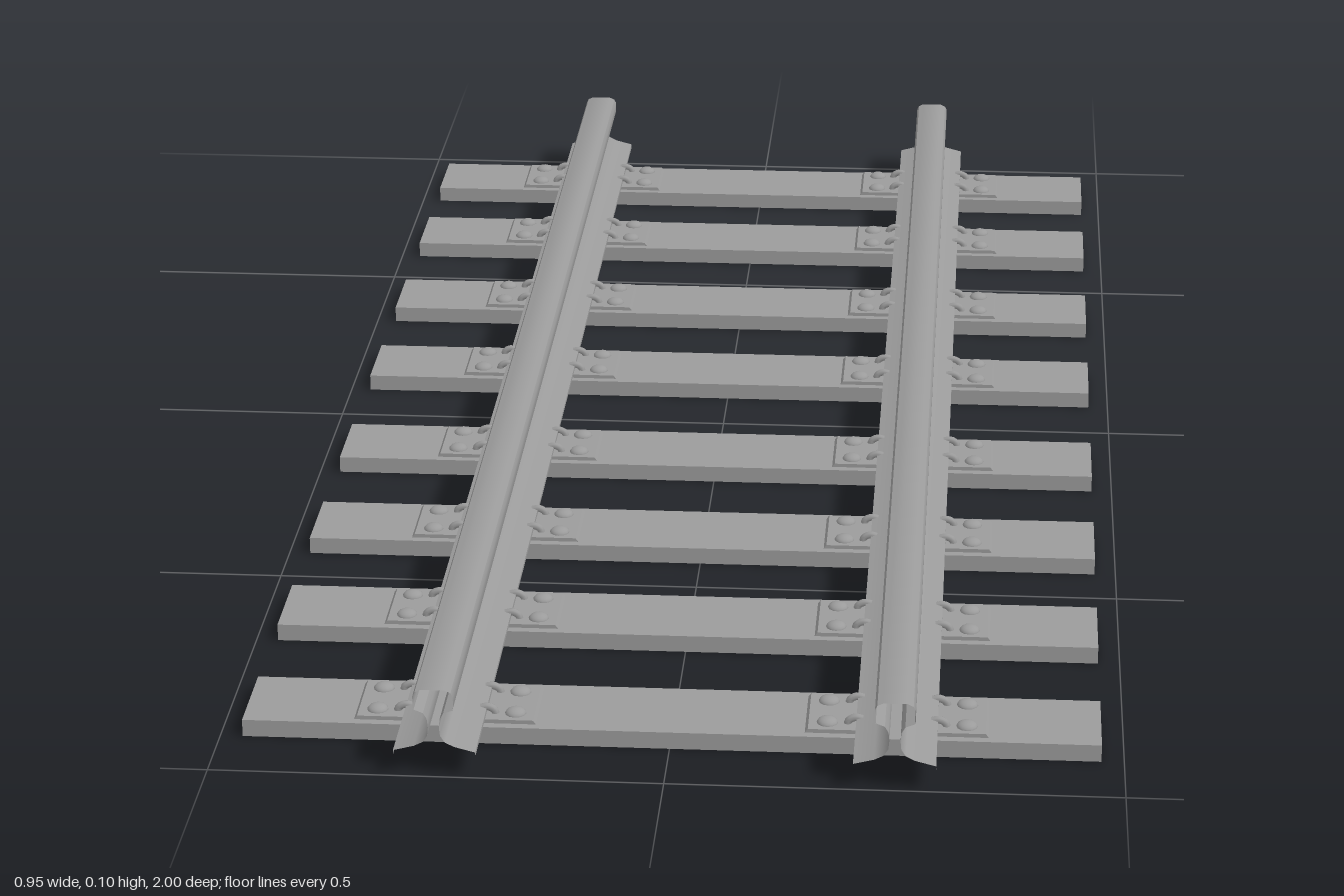
import * as THREE from 'three';
import { toCreasedNormals } from 'three/addons/utils/BufferGeometryUtils.js';

const material = new THREE.MeshStandardMaterial({ color: 0x9b9b9b });
const openMaterial = new THREE.MeshStandardMaterial({ color: 0x9b9b9b, side: THREE.DoubleSide });

const SLEEPER_Z = [-0.872, -0.639, -0.386, -0.139, 0.133, 0.379, 0.621, 0.864];
const SLEEPER = { width: 0.95, depth: 0.108, height: 0.02 };
const DECK = 0.006;
const RAIL_X = 0.25;

function part(name, geometry, x = 0, y = 0, z = 0, surface = material) {
  const mesh = new THREE.Mesh(geometry, surface);
  mesh.name = name;
  mesh.position.set(x, y, z);
  return mesh;
}

function rectangle(PathType, w, d) {
  return new PathType([[-w, -d], [w, -d], [w, d], [-w, d]]
    .map(([x, y]) => new THREE.Vector2(x / 2, y / 2)));
}

// Rail skin: a mirrored section swept along z, open at the ends and underneath
function railGeometry() {
  const half = [
    [0.045, 0.026], [0.045, 0.031], [0.022, 0.037], [0.012, 0.042], [0.007, 0.05],
    [0.006, 0.06], [0.007, 0.07], [0.011, 0.077], [0.021, 0.081], [0.022, 0.084],
    [0.022, 0.097], [0.0195, 0.102], [0.013, 0.105],
  ];
  const section = [...half, ...half.map(([x, y]) => [-x, y]).reverse()];
  const positions = [];
  for (let i = 0; i < section.length - 1; i++) {
    const [ax, ay] = section[i];
    const [bx, by] = section[i + 1];
    positions.push(ax, ay, -1, bx, by, -1, bx, by, 1);
    positions.push(ax, ay, -1, bx, by, 1, ax, ay, 1);
  }
  const geometry = new THREE.BufferGeometry();
  geometry.setAttribute('position', new THREE.Float32BufferAttribute(positions, 3));
  geometry.computeVertexNormals();
  return toCreasedNormals(geometry, 0.6);
}

// Hollow underside of a sleeper: a rim standing on the ground
function rimGeometry() {
  const outline = rectangle(THREE.Shape, SLEEPER.width, SLEEPER.depth);
  outline.holes.push(rectangle(THREE.Path, SLEEPER.width - 0.02, SLEEPER.depth - 0.02));
  return new THREE.ExtrudeGeometry(outline, { depth: SLEEPER.height - DECK, bevelEnabled: false })
    .rotateX(-Math.PI / 2);
}

// Plate with a steep sloping outer edge
function plateGeometry() {
  const shape = new THREE.Shape([[0.036, 0.019], [0.102, 0.019], [0.098, 0.0245], [0.036, 0.0245]]
    .map(([x, y]) => new THREE.Vector2(x, y)));
  return new THREE.ExtrudeGeometry(shape, { depth: 0.088, bevelEnabled: false })
    .translate(0, 0, -0.044);
}

// Round spring clip hooking from the plate over the rail foot
function clipGeometry() {
  const path = new THREE.CatmullRomCurve3([
    [0.055, 0.022], [0.053, 0.028], [0.046, 0.0315], [0.038, 0.03],
  ].map(([x, y]) => new THREE.Vector3(x, y, 0)));
  return new THREE.TubeGeometry(path, 8, 0.0045, 8);
}

export function createModel() {
  const model = new THREE.Group();
  model.name = 'railwayTrack';

  const rail = railGeometry();
  const rim = rimGeometry();
  const deck = new THREE.BoxGeometry(SLEEPER.width, DECK, SLEEPER.depth);
  const plate = plateGeometry();
  const clip = clipGeometry();
  const bolt = new THREE.SphereGeometry(0.012, 12, 5, 0, Math.PI * 2, 0, Math.PI / 2)
    .scale(1, 0.6, 1);

  for (const side of [-1, 1]) {
    model.add(part(side > 0 ? 'leftRail' : 'rightRail', rail, side * RAIL_X, 0, 0, openMaterial));
  }

  for (const z of SLEEPER_Z) {
    const sleeper = new THREE.Group();
    sleeper.name = 'sleeper';
    sleeper.position.z = z;
    sleeper.add(
      part('sleeperRim', rim),
      part('sleeperDeck', deck, 0, SLEEPER.height - DECK / 2, 0),
    );

    // Fastenings on both sides of each rail
    for (const x of [-RAIL_X, RAIL_X]) {
      for (const angle of [0, Math.PI]) {
        const fastening = new THREE.Group();
        fastening.name = 'railFastening';
        fastening.position.x = x;
        fastening.rotation.y = angle;
        fastening.add(part('basePlate', plate));
        for (const offset of [-0.026, 0.026]) {
          fastening.add(
            part('clip', clip, 0, 0, offset, openMaterial),
            part('bolt', bolt, 0.077, 0.024, offset),
          );
        }
        sleeper.add(fastening);
      }
    }
    model.add(sleeper);
  }
  return model;
}
